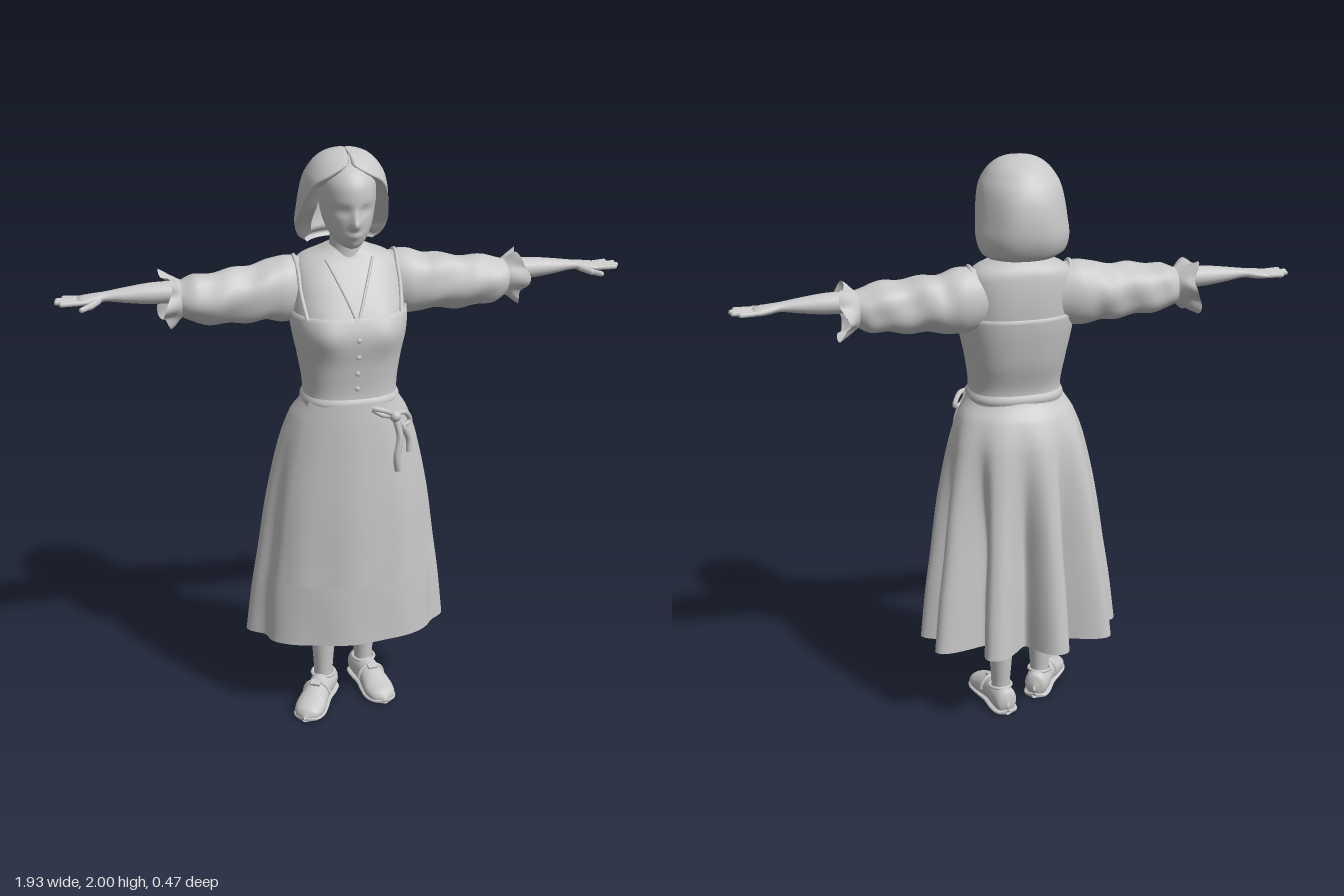
import * as THREE from 'three';

const { sin, cos, PI, min, max, abs, sign, pow, exp } = Math;
const V = (x, y, z) => new THREE.Vector3(x, y, z);
const soft = (v) => sign(v) * pow(abs(v), 0.8);
// Smooth step from 0 at a to 1 at b, in either direction
const step = (a, b, v) => {
  const t = min(max((v - a) / (b - a), 0), 1);
  return t * t * (3 - 2 * t);
};

// Smooth lookup in a profile table whose first column is the key
function sample(t, key) {
  let i = 0;
  while (i < t.length - 2 && key > t[i + 1][0]) i++;
  const p = t[max(i - 1, 0)], a = t[i], b = t[i + 1], c = t[min(i + 2, t.length - 1)];
  const h = b[0] - a[0], s = (key - a[0]) / h;
  return a.map((_, k) => {
    const m0 = (b[k] - p[k]) / (b[0] - p[0]) * h, m1 = (c[k] - a[k]) / (c[0] - a[0]) * h;
    return a[k] * (1 + s * s * (2 * s - 3)) + m0 * s * (s - 1) ** 2 + b[k] * s * s * (3 - 2 * s) + m1 * s * s * (s - 1);
  });
}

// Surface from f(u, v), optionally joined around u
function grid(nu, nv, closed, f) {
  const pos = [], idx = [], w = closed ? nu : nu + 1;
  for (let j = 0; j <= nv; j++) for (let i = 0; i < w; i++) pos.push(...f(i / nu, j / nv).toArray());
  for (let j = 0; j < nv; j++) for (let i = 0; i < nu; i++) {
    const a = j * w + i, b = j * w + (i + 1) % w;
    idx.push(a, b, b + w, a, b + w, a + w);
  }
  const g = new THREE.BufferGeometry();
  g.setAttribute('position', new THREE.Float32BufferAttribute(pos, 3));
  g.setIndex(idx);
  g.computeVertexNormals();
  return g;
}

// Closed loft through a table, with an even number of steps per table row
function loft(table, nu, per, f) {
  const n = table.length - 1;
  return grid(nu, n * per, true, (u, v) => {
    const i = min(Math.floor(v * n + 1e-6), n - 1), s = v * n - i;
    const key = table[i][0] + (table[i + 1][0] - table[i][0]) * s;
    return f(u * 2 * PI, sample(table, key));
  });
}

// Profiles: height, half width, front z, back z
const TORSO = [[1.14, .16, .185, -.06], [1.2, .152, .18, -.055], [1.3, .165, .19, -.085], [1.4, .185, .205, -.105],
  [1.46, .19, .19, -.112], [1.53, .185, .15, -.115], [1.6, .178, .1, -.11], [1.635, .15, .075, -.1],
  [1.66, .09, .062, -.075], [1.68, .05, .05, -.05]];
const SKIRT = [[.28, .36, .215, -.248], [.45, .34, .214, -.23], [.6, .317, .212, -.212], [.8, .287, .208, -.184],
  [1, .242, .198, -.148], [1.1, .205, .192, -.11], [1.15, .174, .187, -.072], [1.18, .158, .184, -.06]];
const HEAD = [[1.682, .006, .105, .085], [1.69, .03, .127, .02], [1.715, .056, .142, -.03], [1.76, .078, .152, -.08],
  [1.81, .089, .155, -.1], [1.86, .093, .16, -.1], [1.91, .087, .148, -.09], [1.955, .06, .1, -.06], [1.98, .01, .03, .0]];
const NECK = [[1.6, .075, .075, -.07], [1.65, .06, .07, -.055], [1.69, .054, .07, -.045], [1.76, .056, .08, -.045]];
// Last column: half angle of the opening around the face
const HAIR = [[1.67, .115, .06, -.115, 1.85], [1.69, .142, .08, -.14, 1.75], [1.74, .156, .11, -.163, 1.5],
  [1.8, .152, .145, -.168, 1.25], [1.86, .145, .166, -.16, 1.05], [1.905, .135, .162, -.142, .8],
  [1.935, .12, .146, -.12, .4], [1.965, .096, .116, -.09, 0], [1.988, .06, .075, -.045, 0], [2, .008, .02, .005, 0]];
// Arm profiles: x, centre y, centre z, half height, half depth
const SLEEVE = [[.12, 1.53, -.02, .095, .07], [.2, 1.527, -.015, .112, .092], [.28, 1.522, -.01, .098, .09],
  [.4, 1.517, 0, .09, .084], [.5, 1.517, 0, .08, .084], [.55, 1.52, 0, .062, .066], [.585, 1.53, 0, .04, .044]];
const FOREARM = [[.55, 1.545, 0, .036, .042], [.65, 1.545, 0, .035, .039], [.73, 1.545, 0, .026, .031],
  [.8, 1.545, 0, .016, .023], [.84, 1.54, 0, .016, .033], [.88, 1.536, 0, .013, .039], [.897, 1.535, 0, .003, .03]];
const RUFFLE = [[.545, 1.52, -.005, .058, .06], [.575, 1.518, -.01, .074, .084], [.605, 1.518, -.012, .088, .104]];
// Shoe: z, centre y, half width, half height
const SHOE = [[-.072, .04, .004, .01], [-.06, .045, .034, .042], [-.02, .047, .044, .048], [.05, .045, .042, .047],
  [.11, .035, .05, .043], [.16, .026, .053, .033], [.2, .02, .038, .024], [.217, .015, .005, .006]];
const LEG = [[.05, .034, .034, -.034], [.1, .033, .034, -.036], [.2, .04, .04, -.046], [.3, .046, .044, -.052], [.7, .065, .06, -.06]];

const ellipse = (a, [y, rx, zf, zb]) => V(rx * sin(a), y, (zf + zb) / 2 + (zf - zb) / 2 * cos(a));

function torsoPoint(a, r, off = 0) {
  const [y, rx, zf, zb] = r;
  // bust fullness on both sides of the centre line
  const bust = .012 * exp(-(((abs(sin(a)) - .45) / .25) ** 2) - ((y - 1.41) / .06) ** 2) * (cos(a) > 0 ? 1 : 0);
  return V((rx + off) * soft(sin(a)), y, (zf + zb) / 2 + ((zf - zb) / 2 + off) * soft(cos(a)) + bust);
}
// Point on the chest (or back) at a given x and y
function chest(x, y, off = .004, back = false) {
  const r = sample(TORSO, y), a = Math.asin(min(pow(abs(x) / r[1], 1.25), 1)) * sign(x);
  return torsoPoint(back ? PI - a : a, r, off);
}
function skirtPoint(a, r) {
  // deep rounded pleats that open towards the hem and fade out under the apron
  const c = 1 - cos(a);
  const weight = step(.3, 1.1, c) * .2 + step(.9, 1.7, c) * .18 + .03 * step(.5, .28, r[0]);
  const k = 1 - weight * step(1.17, .6, r[0]) * pow(.5 - .5 * cos(9 * (a - 3.42)), 1.3);
  const p = ellipse(a, r);
  return V(p.x * k, p.y, p.z * k);
}

export function createModel() {
  const root = new THREE.Group();
  const clay = new THREE.MeshStandardMaterial({ color: 0xc8c8c8, side: THREE.DoubleSide });
  clay.name = 'light grey';
  const add = (name, geo, parent = root) => {
    const m = new THREE.Mesh(geo, clay);
    m.name = name;
    parent.add(m);
    return m;
  };
  const tube = (name, pts, r, closed = false) =>
    add(name, new THREE.TubeGeometry(new THREE.CatmullRomCurve3(pts, closed), 24, r, 8, closed));
  const limb = (name, a, b, r) => {
    const d = b.clone().sub(a);
    const m = add(name, new THREE.CapsuleGeometry(r, d.length(), 4, 8));
    m.position.copy(a).addScaledVector(d, .5);
    m.quaternion.setFromUnitVectors(V(0, 1, 0), d.normalize());
  };

  // Head with modelled nose, eye sockets, lips and chin
  add('head', loft(HEAD, 64, 6, (a, r) => {
    const p = ellipse(a, r);
    if (cos(a) > 0) {
      const bump = (x, y, sx, sy) => exp(-(((abs(p.x) - x) / sx) ** 2) - ((p.y - y) / sy) ** 2);
      p.z += .026 * bump(0, 1.773, .014, .016) + .016 * bump(0, 1.8, .011, .022) - .012 * bump(.036, 1.818, .02, .014)
        + .006 * bump(.036, 1.817, .012, .007) + .008 * bump(0, 1.738, .024, .006) + .006 * bump(0, 1.727, .02, .005);
    }
    return p;
  }));
  add('neck', loft(NECK, 32, 4, ellipse));

  // Bobbed hair as a thick shell, swept back from the face
  add('hair', loft(HAIR, 96, 6, (t, r) => {
    const open = max(r[4], 0), u = t / PI, outer = u < 1;
    const a = open + (2 * PI - 2 * open) * (outer ? u : 2 - u);
    const k = outer ? 1 + .01 * cos(7 * a) * step(1.98, 1.85, r[0]) : 1 - .33 * step(1.67, 1.71, r[0]);
    const mid = (r[2] + r[3]) / 2;
    const p = ellipse(a, r);
    return V(p.x * k - .005, p.y, mid + (p.z - mid) * k);
  }));

  // Blouse body, buttoned bodice over it, and neckline
  add('blouse', loft(TORSO, 64, 4, (a, r) => torsoPoint(a, r)));
  add('bodice', grid(72, 24, true, (u, v) => {
    const y = 1.14 + .33 * min(v * 24 / 23, 1);
    return torsoPoint(u * 2 * PI, sample(TORSO, y), v === 1 ? -.004 : .006);
  }));
  for (const s of [1, -1]) {
    tube('collarEdge', [[.078, 1.64], [.06, 1.6], [.03, 1.53], [.003, 1.46]].map(([x, y]) => chest(s * x, y, .002)), .005);
    tube('bodiceStrap', [chest(s * .155, 1.46), chest(s * .165, 1.54), chest(s * .165, 1.6), V(s * .172, 1.64, -.01),
      chest(s * .16, 1.6, .004, true), chest(s * .15, 1.5, .004, true), chest(s * .15, 1.46, .004, true)], .007);
  }
  for (const y of [1.4, 1.34, 1.28, 1.225]) {
    const b = add('bodiceButton', new THREE.SphereGeometry(.009, 12, 8));
    b.position.copy(chest(0, y, .006));
    b.scale.z = .5;
  }

  // Pleated skirt, apron, waistband and tied bow
  add('skirt', loft(SKIRT, 216, 5, skirtPoint));
  add('apron', grid(40, 30, false, (u, v) => {
    const y = .52 + .65 * v, r = sample(SKIRT, y);
    const edge = Math.asin(min((.245 - .09 * v * v) / (r[1] + .01), 1));
    const a = (u * 2 - 1) * edge, p = skirtPoint(a, r);
    p.x += .01 * sin(a);
    p.z += .014 + .003 * sin(u * 17) * (1 - v);
    p.y -= .012 * (1 - v) * sin(u * PI);
    return p;
  }));
  add('waistband', grid(64, 6, true, (u, v) => {
    const r = sample(TORSO, 1.15 + .04 * v);
    return torsoPoint(u * 2 * PI, r, .004 + .008 * sin(v * PI));
  }));
  const bx = .125, by = 1.125, bz = .2;
  tube('bowLoop', [V(bx, by, bz), V(.08, 1.155, .225), V(.045, 1.16, .215), V(.08, 1.135, .215)], .009, true);
  tube('bowLoop', [V(bx, by, bz), V(.16, 1.13, .19), V(.187, 1.09, .165), V(.16, 1.085, .19)], .009, true);
  tube('bowTail', [V(bx, by, bz), V(.14, 1.05, .215), V(.128, .98, .222), V(.135, .93, .215)], .012);
  tube('bowTail', [V(bx, by, bz), V(.155, 1.08, .2), V(.178, 1.03, .185), V(.18, .985, .185)], .011);
  add('bowKnot', new THREE.SphereGeometry(.02, 16, 12)).position.set(bx, by, bz + .008);

  // Arms: gathered sleeve, ruffled cuff, forearm and hand
  for (const s of [1, -1]) {
    const around = (a, [x, cy, cz, ry, rz], k = 1, dx = 0) =>
      V(s * (x + dx), cy - s * sin(a) * ry * k, cz + cos(a) * rz * k);
    add('sleeve', loft(SLEEVE, 48, 8, (a, r) => {
      const w = step(.2, .3, r[0]) * step(.58, .5, r[0]);
      return around(a, r, 1 + w * (.045 * sin(48 * r[0] + 2 * sin(a)) + .03 * cos(5 * a + 14 * r[0])));
    }));
    add('cuffRuffle', loft(RUFFLE, 84, 6, (a, r) => {
      const w = step(.545, .605, r[0]);
      return around(a, r, 1 + .13 * w * cos(6 * a + .6), .016 * w * cos(3 * a + 1));
    }));
    add('forearm', loft(FOREARM, 32, 5, (a, r) => around(a, r)));
    [[-.028, -.036, .93], [-.01, -.014, .953], [.01, .009, .957], [.029, .034, .943]].forEach(([z0, z1, x]) =>
      limb('finger', V(s * .875, 1.536, z0), V(s * x, 1.537, z1), .0088));
    limb('thumb', V(s * .825, 1.537, .022), V(s * .855, 1.53, .052), .012);
    limb('thumbTip', V(s * .855, 1.53, .052), V(s * .882, 1.526, .07), .0095);
  }

  // Legs and shoes, one foot forward and turned out
  for (const [name, x, z, turn] of [['leftFoot', .08, -.05, .15], ['rightFoot', -.088, .035, -.52]]) {
    const g = new THREE.Group();
    g.name = name;
    g.position.set(x, 0, z);
    g.rotation.y = turn;
    root.add(g);
    add('leg', loft(LEG, 32, 4, ellipse), g);
    add('shoe', loft(SHOE, 40, 5, (a, [pz, cy, rx, ry]) => V(rx * cos(a), max(cy + ry * sin(a), 0), pz)), g);
    add('shoeSole', loft(SHOE, 40, 5, (a, [pz, , rx]) =>
      V((rx + .004) * soft(cos(a)), max(.009 + .009 * soft(sin(a)), 0), pz)), g);
    const rim = add('shoeCollar', new THREE.TorusGeometry(.039, .006, 8, 32), g);
    rim.rotation.x = PI / 2 + .08;
    rim.position.set(0, .088, .002);
    const strap = add('shoeStrap', new THREE.TorusGeometry(.045, .008, 8, 24, PI), g);
    strap.position.set(0, .042, .075);
    const buckle = add('shoeBuckle', new THREE.BoxGeometry(.034, .008, .026), g);
    buckle.position.set(0, .088, .088);
    buckle.rotation.x = .25;
  }
  return root;
}
